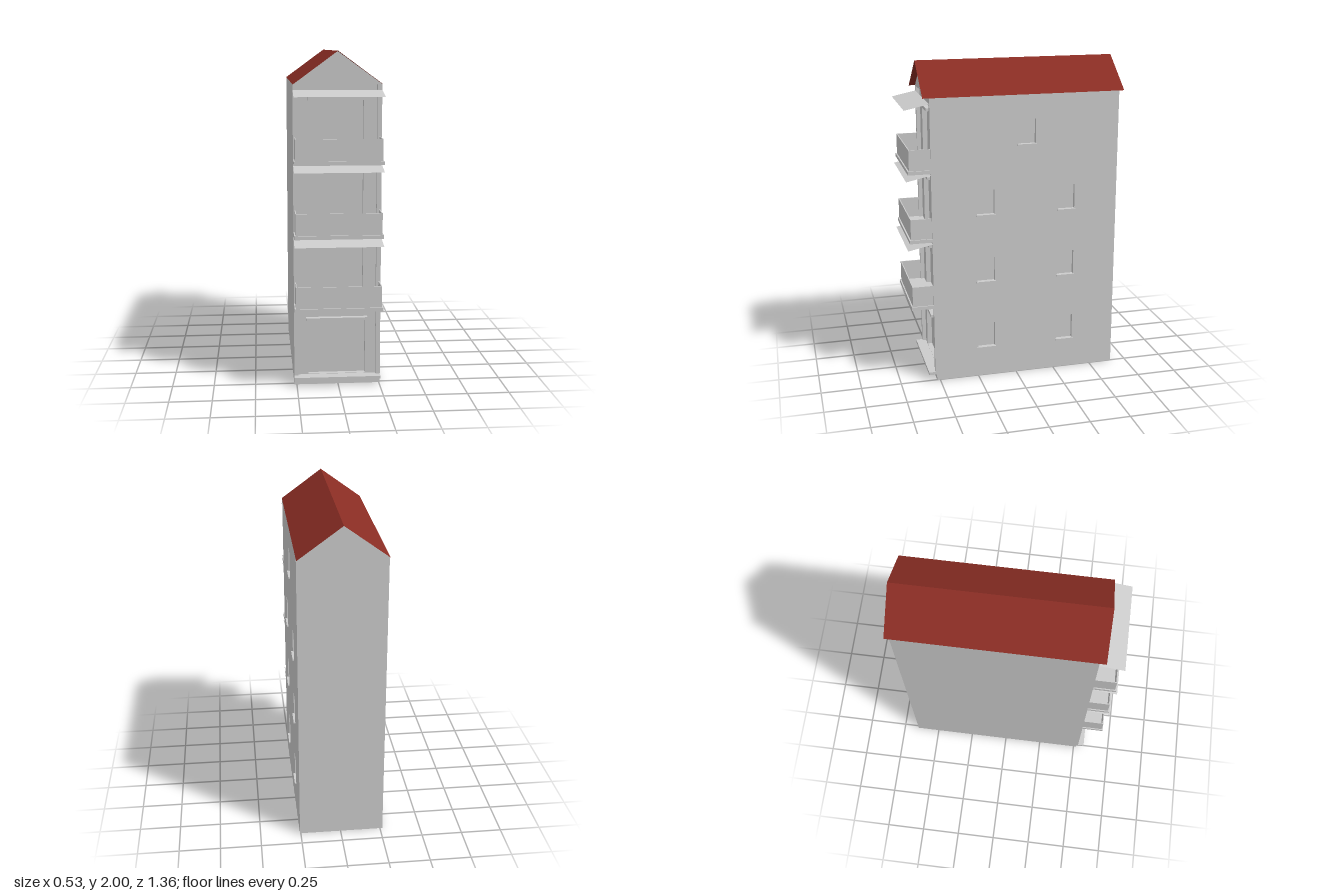
import * as THREE from 'three';

const grey = new THREE.MeshStandardMaterial({ color: 0xcccccc, side: THREE.DoubleSide });
const red = new THREE.MeshStandardMaterial({ color: 0x8a2d24, side: THREE.DoubleSide });

// Main dimensions
const L = -0.265, R = 0.255, MID = (L + R) / 2, W = R - L;
const BACK = -0.65, FRONT = 0.53, WALL = 0.505, EAVES = 1.81, RIDGE = 2;

function add(parent, name, geometry, material = grey) {
  const mesh = new THREE.Mesh(geometry, material);
  mesh.name = name;
  parent.add(mesh);
  return mesh;
}

function box(parent, name, x0, x1, y0, y1, z0, z1) {
  const mesh = add(parent, name, new THREE.BoxGeometry(x1 - x0, y1 - y0, z1 - z0));
  mesh.position.set((x0 + x1) / 2, (y0 + y1) / 2, (z0 + z1) / 2);
  return mesh;
}

const polygon = (points) => new THREE.Shape(points.map(([x, y]) => new THREE.Vector2(x, y)));

// Flat outline with rectangular openings [x0, x1, y0, y1]
function panel(points, openings = []) {
  const shape = polygon(points);
  for (const [x0, x1, y0, y1] of openings) {
    shape.holes.push(polygon([[x0, y0], [x0, y1], [x1, y1], [x1, y0]]));
  }
  return new THREE.ShapeGeometry(shape);
}

// Box without its front side: jambs and pane of an opening
function recess([x0, x1, y0, y1], depth) {
  const geometry = new THREE.BoxGeometry(x1 - x0, y1 - y0, depth);
  const index = Array.from(geometry.index.array);
  index.splice(24, 6);
  geometry.setIndex(index);
  geometry.clearGroups();
  return geometry.translate((x0 + x1) / 2, (y0 + y1) / 2, -depth / 2);
}

// Four-cornered sheet
function sheet(a, b, c, d) {
  const geometry = new THREE.BufferGeometry();
  geometry.setAttribute('position', new THREE.Float32BufferAttribute([...a, ...b, ...c, ...d], 3));
  geometry.setIndex([0, 1, 2, 0, 2, 3]);
  geometry.computeVertexNormals();
  return geometry;
}

function buildSideWalls(house) {
  // Outline in (-z, y), turned to face +x
  const outline = [[-0.52, 0], [-BACK, 0], [-BACK, EAVES], [-FRONT, EAVES], [-FRONT, 0.05], [-0.52, 0.05]];
  const windows = [[0.01, 0.12, 1.505, 1.66]];
  for (const [y0, y1] of [[0.195, 0.36], [0.64, 0.8], [1.075, 1.235]]) {
    windows.push([-0.25, -0.14, y0, y1], [0.27, 0.375, y0, y1]);
  }
  const left = new THREE.Group();
  left.name = 'windowWall';
  left.rotation.y = Math.PI / 2;
  left.position.x = R;
  house.add(left);
  add(left, 'wall', panel(outline, windows));
  for (const w of windows) {
    add(left, 'window', recess(w, 0.025));
    box(left, 'windowSill', w[0] - 0.007, w[1] + 0.007, w[2] - 0.006, w[2] + 0.004, -0.02, 0.01);
  }

  const right = add(house, 'blankWall', panel(outline));
  right.rotation.y = Math.PI / 2;
  right.position.x = L;
  // Face the blank wall outward
  const index = right.geometry.index.array;
  for (let i = 0; i < index.length; i += 3) [index[i], index[i + 1]] = [index[i + 1], index[i]];
  right.geometry.computeVertexNormals();
}

function buildBackWall(house) {
  // Back wall and gable in one piece
  const back = add(house, 'backWall',
    panel([[-W / 2, 0], [W / 2, 0], [W / 2, EAVES], [0, RIDGE - 0.002], [-W / 2, EAVES]]));
  back.rotation.y = Math.PI;
  back.position.set(MID, 0, BACK);
}

function buildFront(house) {
  const doors = [
    [-0.18, 0.165, 0.06, 0.4],
    [-0.165, 0.15, 0.51, 0.86],
    [-0.165, 0.15, 0.945, 1.295],
    [-0.165, 0.15, 1.375, 1.718],
  ];
  const wall = add(house, 'frontWall', panel([[L, 0], [R, 0], [R, EAVES], [L, EAVES]], doors));
  wall.position.z = WALL;
  for (const d of doors) {
    add(house, 'door', recess(d, 0.03)).position.z = WALL;
    box(house, 'lintel', d[0] - 0.012, d[1] + 0.012, d[3], d[3] + 0.018, WALL, 0.537);
  }

  // Corner pilasters, plinth and doorstep
  box(house, 'cornerPilaster', L, -0.24, 0.06, EAVES, WALL, FRONT);
  box(house, 'cornerPilaster', 0.228, R, 0.06, EAVES, WALL, FRONT);
  box(house, 'plinth', L, R, 0, 0.04, WALL, 0.52);
  box(house, 'doorstep', L, R, 0.04, 0.058, WALL, 0.57);

  // Front gable
  const gable = add(house, 'frontGable', new THREE.ExtrudeGeometry(
    polygon([[L, EAVES], [R, EAVES], [MID, RIDGE - 0.002]]),
    { depth: FRONT - WALL, bevelEnabled: false }));
  gable.position.z = WALL;
}

function buildBalcony(house, y) {
  const balcony = new THREE.Group();
  balcony.name = 'balcony';
  house.add(balcony);
  const x0 = -0.258, x1 = 0.247, top = y + 0.15, t = 0.006;
  box(balcony, 'floorSlab', L, R, y, y + 0.022, WALL, 0.668);
  box(balcony, 'frontParapet', x0, x1, y + 0.022, top, 0.66 - t, 0.66);
  box(balcony, 'sideParapet', x0, x0 + t, y + 0.022, top, WALL, 0.66 - t);
  box(balcony, 'sideParapet', x1 - t, x1, y + 0.022, top, WALL, 0.66 - t);
}

function buildAwning(house, y) {
  add(house, 'awning', sheet(
    [L, y - 0.032, 0.68], [R, y - 0.032, 0.68], [R, y, FRONT], [L, y, FRONT]));
}

function buildRoof(house) {
  const z0 = -0.682, z1 = 0.57;
  add(house, 'roofSlope', sheet(
    [R, EAVES, z1], [R, EAVES, z0], [MID, RIDGE, z0], [MID, RIDGE, z1]), red);
  add(house, 'roofSlope', sheet(
    [L, EAVES, z0], [L, EAVES, z1], [MID, RIDGE, z1], [MID, RIDGE, z0]), red);
}

export function createModel() {
  const house = new THREE.Group();
  house.name = 'townHouse';
  buildSideWalls(house);
  buildBackWall(house);
  buildFront(house);
  for (const y of [0.49, 0.925, 1.355]) buildBalcony(house, y);
  for (const y of [0.912, 1.346, 1.776]) buildAwning(house, y);
  buildRoof(house);
  return house;
}
